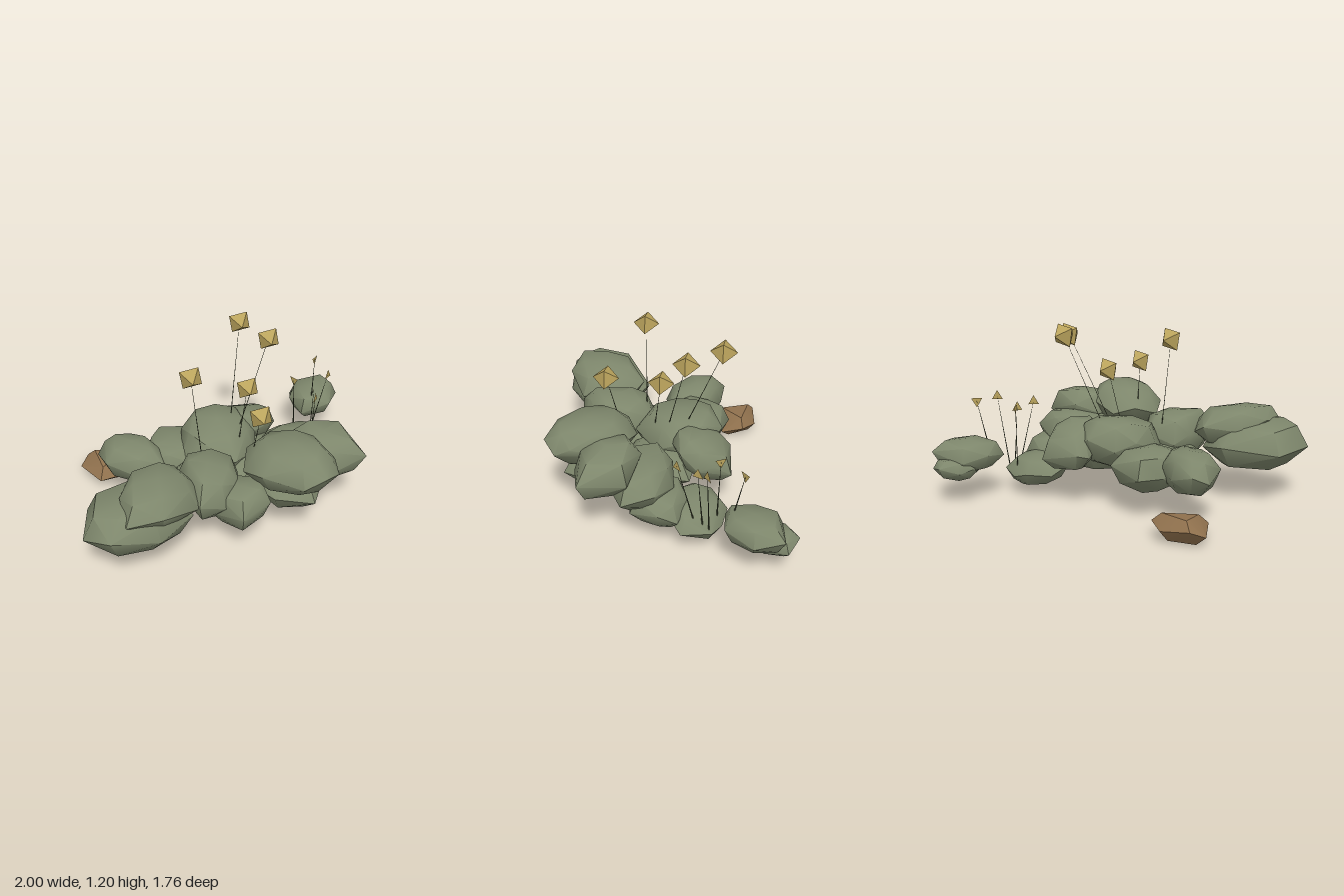
import * as THREE from 'three';
import { toCreasedNormals } from 'three/addons/utils/BufferGeometryUtils.js';
import { ConvexGeometry } from 'three/addons/geometries/ConvexGeometry.js';

const mat = (name, color, side = THREE.FrontSide) => {
  const m = new THREE.MeshStandardMaterial({ color, side });
  m.name = name;
  return m;
};

// Boulder: plan outline (x, z pairs), bottom and top height, slope along x and z.
// A zigzag rim at mid height with smaller rings above and below, domed at both ends.
// A coarse boulder has only every other ring point and flat ends.
function boulder(name, material, outline, y0, y1, slopeX = 0, slopeZ = 0, coarse = false) {
  const n = outline.length / 2, h = y1 - y0;
  let cx = 0, cz = 0;
  for (let i = 0; i < n; i++) {
    cx += outline[2 * i] / n;
    cz += outline[2 * i + 1] / n;
  }
  const points = [];
  const add = (dx, dz, t) =>
    points.push(new THREE.Vector3(cx + dx, y0 + h * t + slopeX * dx + slopeZ * dz, cz + dz));
  for (let i = 0; i < n; i++) {
    const dx = outline[2 * i] - cx, dz = outline[2 * i + 1] - cz;
    const odd = i % 2 === 1;
    add(dx, dz, odd ? 0.6 : 0.42);
    const up = odd ? 0.64 : 0.78, down = odd ? 0.76 : 0.62;
    if (odd || !coarse) add(dx * up, dz * up, odd ? 0.95 : 0.87);
    if (!odd || !coarse) add(dx * down, dz * down, odd ? 0.15 : 0.05);
  }
  if (!coarse) {
    add(0, 0, 1);
    add(0, 0, 0);
  }
  const crease = coarse ? 0.5 : 0.9;
  const m = new THREE.Mesh(toCreasedNormals(new ConvexGeometry(points), crease), material);
  m.name = name;
  return m;
}

// Thin stem tapering towards its top
function stem(base, top, radius, material) {
  const a = new THREE.Vector3(...base), b = new THREE.Vector3(...top);
  const d = b.clone().sub(a);
  const m = new THREE.Mesh(new THREE.CylinderGeometry(0.001, radius, d.length(), 4), material);
  m.position.copy(a).add(b).multiplyScalar(0.5);
  m.quaternion.setFromUnitVectors(new THREE.Vector3(0, 1, 0), d.normalize());
  m.name = 'stem';
  return m;
}

export function createModel() {
  const root = new THREE.Group();
  root.name = 'floatingRocks';
  const stone = mat('mossy stone', 0x7e876c);
  const earth = mat('brown stone', 0x91724e);
  const gold = mat('gold', 0xbaa35c, THREE.DoubleSide);
  const dark = mat('dark stem', 0x4a5138);

  // Main cluster of overlapping boulders
  const cluster = new THREE.Group();
  cluster.name = 'rockCluster';
  const rock = (...args) => cluster.add(boulder('boulder', stone, ...args));
  // front right corner, lower then upper
  rock([-0.95, 0.44, -0.62, 0.27, -0.38, 0.42, -0.33, 0.68, -0.55, 0.84, -0.85, 0.88, -1, 0.74], 0.22, 0.54, -0.04, 0.04);
  rock([-0.7, 0.4, -0.47, 0.28, -0.36, 0.35, -0.28, 0.5, -0.3, 0.69, -0.53, 0.83, -0.75, 0.83, -0.76, 0.6], 0.36, 0.62, -0.1);
  // far right
  rock([-0.83, -0.19, -0.76, -0.27, -0.6, -0.26, -0.46, -0.17, -0.39, 0, -0.42, 0.09, -0.58, 0.14, -0.79, 0], 0.2, 0.46);
  // back right
  rock([-0.41, -0.34, -0.16, -0.3, -0.1, -0.1, -0.2, 0.1, -0.4, 0.1, -0.53, -0.02, -0.5, -0.2], 0.17, 0.44);
  // front middle
  rock([-0.36, 0.48, -0.29, 0.68, -0.12, 0.65, 0, 0.5, 0.03, 0.28, -0.1, 0.15, -0.31, 0.18, -0.36, 0.3], 0.25, 0.57);
  // centre
  rock([-0.29, 0.03, -0.26, -0.16, -0.18, -0.28, 0, -0.33, 0.17, -0.25, 0.23, -0.05, 0.2, 0.08, 0.03, 0.25, -0.19, 0.2], 0.26, 0.58, 0, -0.08);
  // front left, upper
  rock([0.03, 0.45, 0.09, 0.28, 0.22, 0.2, 0.42, 0.23, 0.54, 0.36, 0.59, 0.55, 0.59, 0.65, 0.48, 0.745, 0.34, 0.745, 0.11, 0.61], 0.4, 0.69, 0.07);
  // left
  rock([0.36, 0.22, 0.5, 0.12, 0.77, 0.16, 0.84, 0.455, 0.58, 0.53, 0.4, 0.45], 0.35, 0.645, -0.04, -0.12);
  // left middle
  rock([0.19, 0.05, 0.34, -0.05, 0.55, -0.09, 0.74, 0, 0.8, 0.2, 0.6, 0.34, 0.3, 0.3], 0.24, 0.52);
  // back middle
  rock([0, -0.32, 0.04, -0.39, 0.31, -0.425, 0.36, -0.32, 0.41, -0.22, 0.36, -0.1, 0.2, -0.02, 0.03, -0.1], 0.27, 0.53, 0, 0.35);
  // front middle, lower
  rock([-0.2, 0.58, -0.04, 0.77, 0.08, 0.7, 0.16, 0.65, 0.17, 0.45, -0.05, 0.35, -0.2, 0.4], 0.22, 0.48, 0.1);
  // front left, lower
  rock([0.06, 0.3, 0.3, 0.15, 0.5, 0.2, 0.56, 0.45, 0.45, 0.64, 0.2, 0.6], 0.22, 0.46);
  // back left, low
  rock([0.33, -0.32, 0.47, -0.42, 0.6, -0.4, 0.73, -0.35, 0.76, -0.16, 0.64, -0.06, 0.4, -0.08, 0.3, -0.18], 0.08, 0.27, -0.08, 0.15);
  // left underside
  rock([0.36, -0.12, 0.55, -0.18, 0.74, -0.14, 0.76, -0.02, 0.72, 0.16, 0.5, 0.19, 0.36, 0.1], 0.14, 0.37, 0, 0.1);
  // underside right and middle
  rock([-0.48, 0.2, -0.3, 0, -0.05, 0.04, 0.04, 0.25, -0.12, 0.44, -0.38, 0.42], 0.145, 0.38);
  rock([-0.05, 0.05, 0.1, -0.19, 0.36, -0.16, 0.42, 0.1, 0.25, 0.3, 0, 0.26], 0.18, 0.4);
  root.add(cluster);

  // Small island behind the cluster
  const island = new THREE.Group();
  island.name = 'smallIsland';
  island.add(
    boulder('islandBoulder', stone, [0.67, -0.42, 0.63, -0.6, 0.7, -0.77, 0.96, -0.8, 1, -0.62, 0.89, -0.44], 0.2, 0.41, 0.05),
    boulder('islandBoulder', stone, [0.69, -0.8, 0.8, -0.88, 0.93, -0.82, 0.9, -0.65, 0.75, -0.57, 0.67, -0.7], 0.16, 0.3, 0, -0.1),
  );
  root.add(island);

  // Lone brown rock
  root.add(boulder('brownRock', earth,
    [-0.95, -0.4, -0.89, -0.48, -0.7, -0.51, -0.58, -0.43, -0.59, -0.28, -0.83, -0.19], 0, 0.165, 0, -0.12, true));

  // Octahedral crystals on thin stems: crystal centre, stem base
  [
    [[-0.25, 1.08, 0.217], [-0.19, 0.5, 0.21]],
    [[0.18, 1.13, -0.34], [0.07, 0.53, -0.1]],
    [[0.325, 1.1, -0.13], [0.09, 0.5, 0.02]],
    [[0.145, 0.87, 0.41], [0.12, 0.6, 0.35]],
    [[0.145, 0.86, 0.055], [0.08, 0.5, 0.11]],
  ].forEach(([top, base]) => {
    const g = new THREE.Group();
    g.name = 'crystalStalk';
    const c = new THREE.Mesh(new THREE.OctahedronGeometry(0.085), gold);
    c.name = 'crystal';
    c.position.set(...top);
    c.rotation.z = 0.96;
    g.add(c, stem(base, top, 0.003, dark));
    root.add(g);
  });

  // Thin triangular buds: bud centre, stem base, turn, pointing down
  [
    [[0.67, 0.6, -0.125], [0.69, 0.2, -0.24], 0.9, false],
    [[0.7, 0.575, -0.255], [0.7, 0.18, -0.29], 1.2, false],
    [[0.82, 0.65, -0.325], [0.71, 0.18, -0.33], 0.7, false],
    [[0.59, 0.6, -0.38], [0.6, 0.18, -0.365], 2.09, true],
    [[0.79, 0.655, -0.54], [0.76, 0.34, -0.475], 0.8, true],
  ].forEach(([top, base, turn, down]) => {
    const g = new THREE.Group();
    g.name = 'budStalk';
    const bud = new THREE.Mesh(new THREE.CircleGeometry(0.042, 3, Math.PI / 2), gold);
    bud.name = 'bud';
    bud.position.set(...top);
    bud.rotation.set(0, turn, down ? Math.PI : 0);
    g.add(bud, stem(base, top, 0.005, dark));
    root.add(g);
  });

  return root;
}
